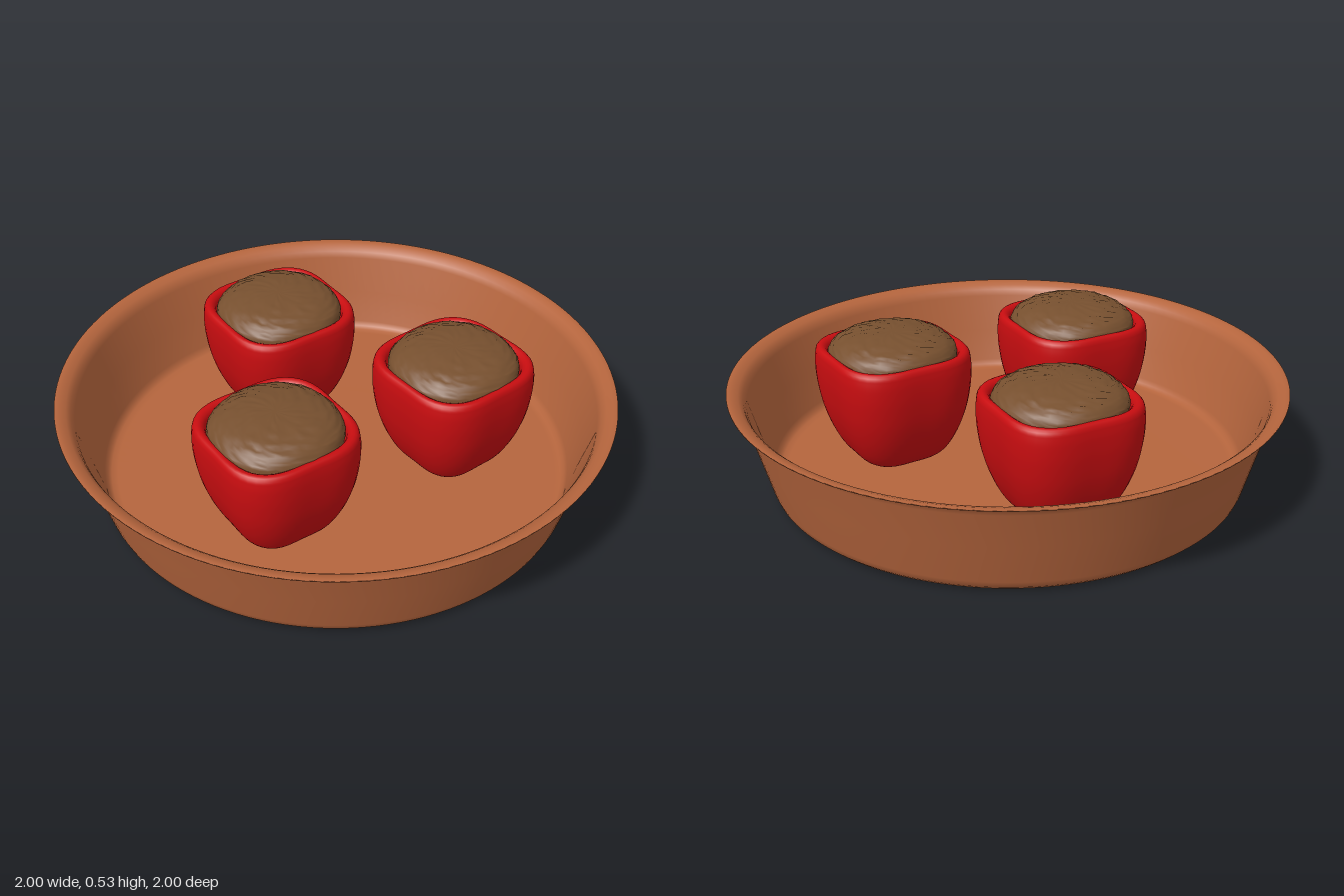
import * as THREE from 'three';
import { mergeVertices } from 'three/addons/utils/BufferGeometryUtils.js';

const paint = (name, color) => {
  const m = new THREE.MeshStandardMaterial({ color });
  m.name = name;
  return m;
};
const terracotta = paint('terracotta', 0xb5653d);
const pepperRed = paint('pepper red', 0xc80d10);
const fillingBrown = paint('filling brown', 0x77502f);

const points = (list) => list.map(([x, y]) => new THREE.Vector2(x, y));
const smooth = (list, n) => new THREE.SplineCurve(points(list)).getPoints(n)
  .map((p) => p.set(Math.max(p.x, 0), p.y));

// Lathe whose vertices are moved by a rule, with the seam welded
function shapedLathe(profile, segments, rule) {
  let geo = new THREE.LatheGeometry(profile, segments);
  geo.deleteAttribute('uv');
  geo.deleteAttribute('normal');
  geo = mergeVertices(geo, 1e-5);
  const pos = geo.attributes.position;
  const v = new THREE.Vector3();
  for (let i = 0; i < pos.count; i++) {
    v.fromBufferAttribute(pos, i);
    rule(v, Math.atan2(v.z, v.x), i);
    pos.setXYZ(i, v.x, v.y, v.z);
  }
  geo.computeVertexNormals();
  return geo;
}

function add(parent, name, geometry, material) {
  const mesh = new THREE.Mesh(geometry, material);
  mesh.name = name;
  parent.add(mesh);
}

// Four-lobed hollow pepper with a rolled rim
function pepperGeometry() {
  const outside = smooth([[0, 0.055], [0.07, 0.042], [0.13, 0.05], [0.18, 0.085],
    [0.222, 0.16], [0.252, 0.25], [0.267, 0.34], [0.27, 0.41], [0.266, 0.45]], 40);
  const rim = points([[0.263, 0.459], [0.257, 0.466], [0.249, 0.469], [0.24, 0.468],
    [0.231, 0.462], [0.225, 0.452], [0.222, 0.435], [0.22, 0.4], [0, 0.4]]);
  return shapedLathe([...outside, ...rim], 64, (v, a) => {
    const lobe = 1 + 0.072 * Math.cos(4 * a);
    v.x *= lobe;
    v.z *= lobe;
  });
}

// Crumbly domed filling
function fillingGeometry() {
  let seed = 7;
  const rand = () => (seed = (seed * 16807) % 2147483647) / 2147483647 - 0.5;
  const dome = smooth([[0.228, 0.41], [0.231, 0.45], [0.222, 0.476], [0.195, 0.499],
    [0.15, 0.515], [0.08, 0.526], [0, 0.528]], 26);
  return shapedLathe(dome, 56, (v, a) => {
    const r = Math.hypot(v.x, v.z);
    const rough = Math.min(1, r / 0.16);
    const s = 1 + 0.012 * Math.cos(4 * a) + rand() * 0.012 * rough;
    v.x *= s;
    v.z *= s;
    v.y += rand() * 0.007 * rough;
  });
}

export function createModel() {
  const model = new THREE.Group();
  model.name = 'stuffedPeppersInDish';

  // Round baking dish with sloped wall and flared lip
  const dish = points([[0, 0], [0.4, 0], [0.8, 0], [0.825, 0.001], [0.846, 0.008],
    [0.861, 0.022], [0.87, 0.045], [0.912, 0.195], [0.95, 0.33], [0.957, 0.348],
    [0.968, 0.361], [0.983, 0.369], [1, 0.372], [1, 0.377], [0.982, 0.375],
    [0.96, 0.367], [0.944, 0.353], [0.933, 0.33], [0.895, 0.195], [0.855, 0.07],
    [0.845, 0.052], [0.832, 0.043], [0.81, 0.04], [0.4, 0.04], [0, 0.04]]);
  add(model, 'dish', new THREE.LatheGeometry(dish, 128), terracotta);

  // Three stuffed peppers: x, z, turn
  const shell = pepperGeometry();
  const filling = fillingGeometry();
  [[-0.36, -0.22, 0.3], [0.365, -0.205, 0.37], [-0.01, 0.415, 0.3]].forEach(([x, z, turn]) => {
    const pepper = new THREE.Group();
    pepper.name = 'stuffedPepper';
    add(pepper, 'pepperShell', shell, pepperRed);
    add(pepper, 'filling', filling, fillingBrown);
    pepper.position.set(x, 0, z);
    pepper.rotation.y = turn;
    model.add(pepper);
  });
  return model;
}
